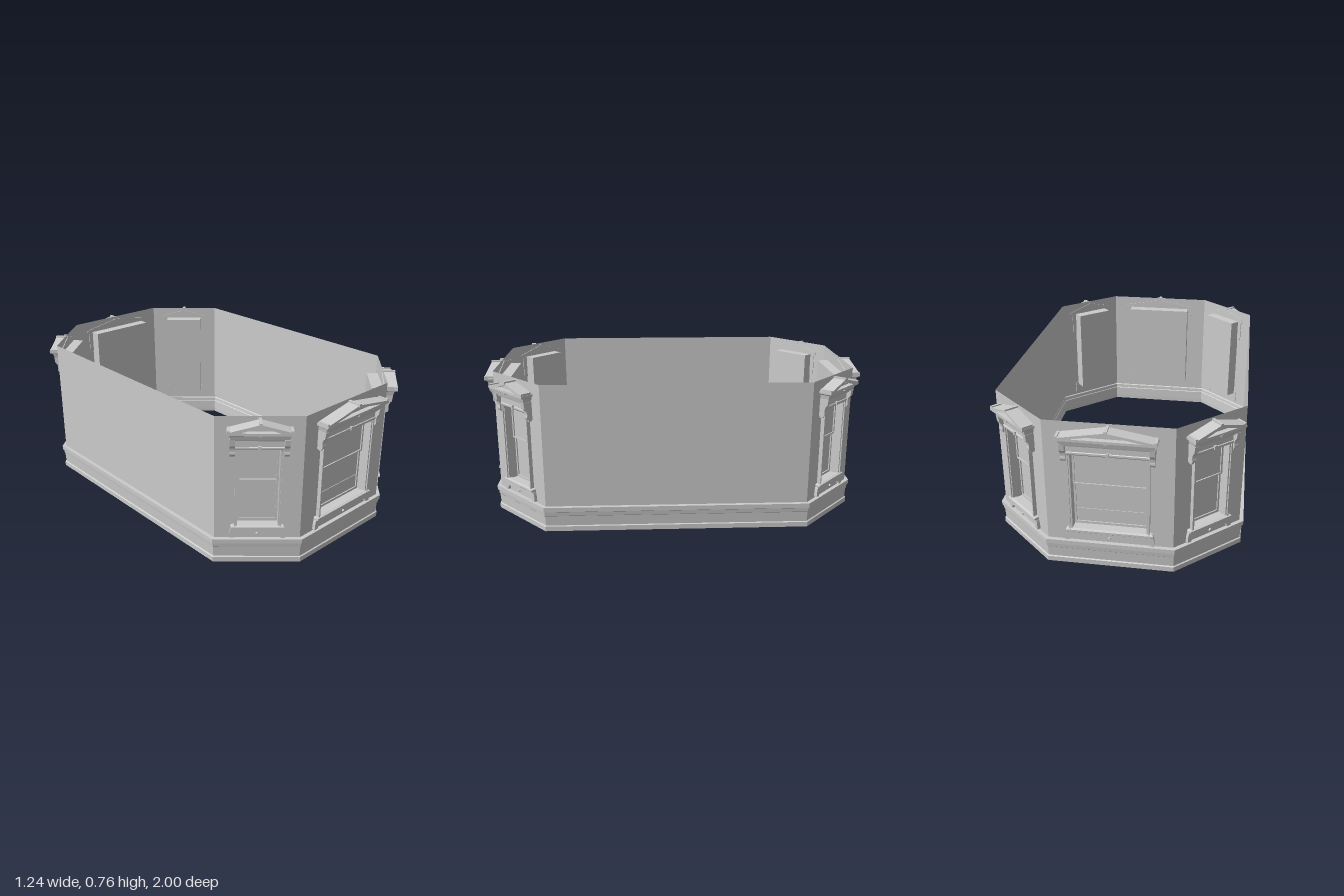
import * as THREE from 'three';

const grey = new THREE.MeshStandardMaterial({ color: 0xcccccc, flatShading: true, side: THREE.DoubleSide });
const WALL_TOP = 0.757, PLINTH_TOP = 0.13, BACK = -0.004;

// Octagonal plan, corners as [x, z]
const plan = [[0.3, 0.935], [0.6, 0.66], [0.6, -0.66], [0.3, -0.935],
  [-0.3, -0.935], [-0.6, -0.66], [-0.6, 0.66], [-0.3, 0.935]];

function add(group, name, geometry, x = 0, y = 0, z = 0) {
  const mesh = new THREE.Mesh(geometry, grey);
  mesh.name = name;
  mesh.position.set(x, y, z);
  group.add(mesh);
  return mesh;
}

// Box given by its limits
function block(group, name, x0, x1, y0, y1, z0, z1) {
  return add(group, name, new THREE.BoxGeometry(x1 - x0, y1 - y0, z1 - z0),
    (x0 + x1) / 2, (y0 + y1) / 2, (z0 + z1) / 2);
}

const polygon = (pts) => new THREE.Shape(pts.map(([x, y]) => new THREE.Vector2(x, y)));
const rect = (h, y0, y1) => polygon([[-h, y0], [h, y0], [h, y1], [-h, y1]]);

function extrude(shape, depth) {
  return new THREE.ExtrudeGeometry(shape, { depth, bevelEnabled: false, curveSegments: 6 });
}

function frame(outer, hole, depth) {
  outer.holes.push(new THREE.Path(hole.getPoints()));
  return extrude(outer, depth);
}

// Skin between rings of points with equal counts
function skin(rings, capped) {
  const n = rings[0].length, index = [];
  for (let r = 0; r < rings.length - 1; r++) {
    for (let i = 0; i < n; i++) {
      const a = r * n + i, b = r * n + (i + 1) % n;
      index.push(a, b, b + n, a, b + n, a + n);
    }
  }
  if (capped) {
    const t = (rings.length - 1) * n;
    index.push(0, 2, 1, 0, 3, 2, t, t + 1, t + 2, t, t + 2, t + 3);
  }
  const g = new THREE.BufferGeometry();
  g.setAttribute('position', new THREE.Float32BufferAttribute(rings.flat(2), 3));
  g.setIndex(index);
  const flat = g.toNonIndexed();
  flat.computeVertexNormals();
  return flat;
}

// Moulding that returns round its ends; levels are [y, half width, depth], bottom first
function moulding(levels) {
  return skin(levels.map(([y, h, d]) => [[-h, y, d], [h, y, d], [h, y, BACK], [-h, y, BACK]]), true);
}

// Plan offset outwards by d with mitred corners
function planRing(d, y) {
  return plan.map((p, i) => {
    const normal = (a, b) => new THREE.Vector2(a[1] - b[1], b[0] - a[0]).normalize();
    const n1 = normal(plan[(i + 7) % 8], p), n2 = normal(p, plan[(i + 1) % 8]);
    const k = d / (1 + n1.dot(n2));
    return [p[0] + (n1.x + n2.x) * k, y, p[1] + (n1.y + n2.y) * k];
  });
}

function createWindow(W, wide) {
  const g = new THREE.Group();
  g.name = wide ? 'wideWindow' : 'narrowWindow';
  const G = W - 0.015;

  // Recessed box behind the wall
  add(g, 'recessBox', frame(rect(W, 0.19, 0.69), rect(G, 0.2, 0.6), 0.06), 0, 0, -0.06);
  block(g, 'recessBack', -W, W, 0.19, 0.69, -0.062, -0.058);

  // Sashes, the upper one standing forward
  block(g, 'lowerPane', -G, G, 0.2, 0.425, -0.058, -0.042);
  block(g, 'upperPane', -G, G, 0.42, 0.6, -0.058, -0.032);
  add(g, 'lowerSash', frame(rect(G, 0.2, 0.425), rect(G - 0.01, 0.212, 0.418), 0.006), 0, 0, -0.042);
  add(g, 'upperSash', frame(rect(G, 0.42, 0.6), rect(G - 0.01, 0.427, 0.59), 0.006), 0, 0, -0.032);
  if (wide) block(g, 'blindEdge', -G + 0.01, G - 0.01, 0.278, 0.283, -0.042, -0.039);

  // Casing round the opening
  add(g, 'casing', frame(rect(W, 0.195, 0.612), rect(G, 0.2, 0.6), 0.014));
  for (const s of [-1, 1]) {
    block(g, 'casingBead', s * (W - 0.004) - 0.004, s * (W - 0.004) + 0.004, 0.2, 0.6, 0, 0.02);
  }

  // Sill with apron and feet
  add(g, 'sill', moulding([[0.185, W + 0.01, 0.02], [0.19, W + 0.016, 0.026], [0.2, W + 0.016, 0.026], [0.204, W + 0.008, 0.014]]));
  const F = W + 0.022, apron = new THREE.Shape();
  apron.moveTo(-F, 0.137);
  apron.lineTo(-F + 0.022, 0.137);
  apron.quadraticCurveTo(-F + 0.026, 0.16, -F + 0.042, 0.162);
  apron.lineTo(-0.022, 0.162);
  apron.quadraticCurveTo(0, 0.142, 0.022, 0.162);
  apron.lineTo(F - 0.042, 0.162);
  apron.quadraticCurveTo(F - 0.026, 0.16, F - 0.022, 0.137);
  apron.lineTo(F, 0.137);
  apron.quadraticCurveTo(F, 0.17, F - 0.008, 0.19);
  apron.lineTo(-F + 0.008, 0.19);
  apron.quadraticCurveTo(-F, 0.17, -F, 0.137);
  add(g, 'apron', extrude(apron, 0.02), 0, 0, BACK);
  add(g, 'apronBoss', new THREE.CylinderGeometry(0.006, 0.008, 0.008, 10), 0, 0.162, 0.019).rotation.x = Math.PI / 2;

  // Header: lintel, frieze and stepped cornice
  add(g, 'lintel', moulding([[0.6, W - 0.004, 0.02], [0.605, W, 0.024], [0.614, W, 0.024], [0.618, W - 0.003, 0.018]]));
  block(g, 'keystone', -0.007, 0.007, 0.604, 0.622, 0, 0.03);
  add(g, 'cornice', moulding([
    [0.615, W + 0.012, 0.02], [0.65, W + 0.012, 0.02], [0.65, W + 0.018, 0.032], [0.66, W + 0.02, 0.035],
    [0.662, W + 0.022, 0.045], [0.682, W + 0.026, 0.05], [0.69, W + 0.034, 0.06], [0.69, W + 0.037, 0.065], [0.702, W + 0.037, 0.065]]));

  // Scrolled brackets at each end
  const side = new THREE.Shape();
  side.moveTo(BACK, 0.57);
  side.lineTo(0.022, 0.57);
  side.quadraticCurveTo(0.034, 0.578, 0.028, 0.595);
  side.quadraticCurveTo(0.028, 0.62, 0.042, 0.63);
  side.lineTo(0.046, 0.662);
  side.lineTo(BACK, 0.662);
  for (const s of [-1, 1]) {
    add(g, 'bracket', extrude(side, 0.024).rotateY(-Math.PI / 2), s * (W + 0.012) + 0.012);
    block(g, 'bracketDrop', s * (W + 0.012) - 0.007, s * (W + 0.012) + 0.007, 0.562, 0.572, 0, 0.018);
  }

  // Pediment: recessed panel, raking cornice, dentils and finial
  const P = W + 0.03, apex = 0.743;
  add(g, 'pedimentPanel', extrude(polygon([[-P, 0.7], [P, 0.7], [0, apex - 0.003]]), 0.044), 0, 0, BACK);
  add(g, 'rakingCornice', extrude(polygon([[-P, 0.7], [-P + 0.045, 0.7], [0, apex - 0.012], [P - 0.045, 0.7],
    [P, 0.7], [P, 0.705], [0, apex], [-P, 0.705]]), 0.065 - BACK), 0, 0, BACK);
  const count = wide ? 14 : 7;
  for (const s of [-1, 1]) {
    for (let i = 1; i <= count; i++) {
      const t = i / (count + 1);
      add(g, 'dentil', new THREE.BoxGeometry(0.005, 0.004, 0.012),
        s * (P - 0.05) * t, THREE.MathUtils.lerp(apex - 0.014, 0.703, t), 0.046);
    }
    block(g, 'endBlock', s * P - 0.006, s * P + 0.006, 0.7, 0.712, 0.01, 0.064);
  }
  block(g, 'finial', -0.007, 0.007, apex - 0.012, apex + 0.006, BACK, 0.066);
  block(g, 'corniceDrop', -0.006, 0.006, 0.684, 0.694, 0.04, 0.067);
  return g;
}

export function createModel() {
  const model = new THREE.Group();
  model.name = 'bayRoom';

  // Moulded plinth, open beneath
  const profile = [[0, 0.008], [0.025, 0.0125], [0.028, 0.006], [0.08, 0.009], [0.083, 0.012],
    [0.103, 0.014], [0.107, 0.02], [PLINTH_TOP, 0.02], [PLINTH_TOP, 0]];
  profile[0][1] = 0.0125;
  add(model, 'plinth', skin(profile.map(([y, d]) => planRing(d, y)), false));

  // One wall per side of the plan; all but the long ones carry a window
  plan.forEach((a, i) => {
    const b = plan[(i + 1) % 8];
    const length = Math.hypot(b[0] - a[0], b[1] - a[1]);
    const bay = new THREE.Group();
    bay.name = 'wallBay';
    bay.position.set((a[0] + b[0]) / 2, 0, (a[1] + b[1]) / 2);
    bay.rotation.y = Math.atan2(a[1] - b[1], b[0] - a[0]);
    const shape = rect(length / 2, PLINTH_TOP, WALL_TOP);
    if (length < 1) {
      const wide = length > 0.5, W = wide ? 0.19 : 0.11;
      shape.holes.push(new THREE.Path(rect(W - 0.015, 0.2, 0.6).getPoints()));
      bay.add(createWindow(W, wide));
    }
    add(bay, 'wall', new THREE.ShapeGeometry(shape));
    model.add(bay);
  });
  return model;
}
